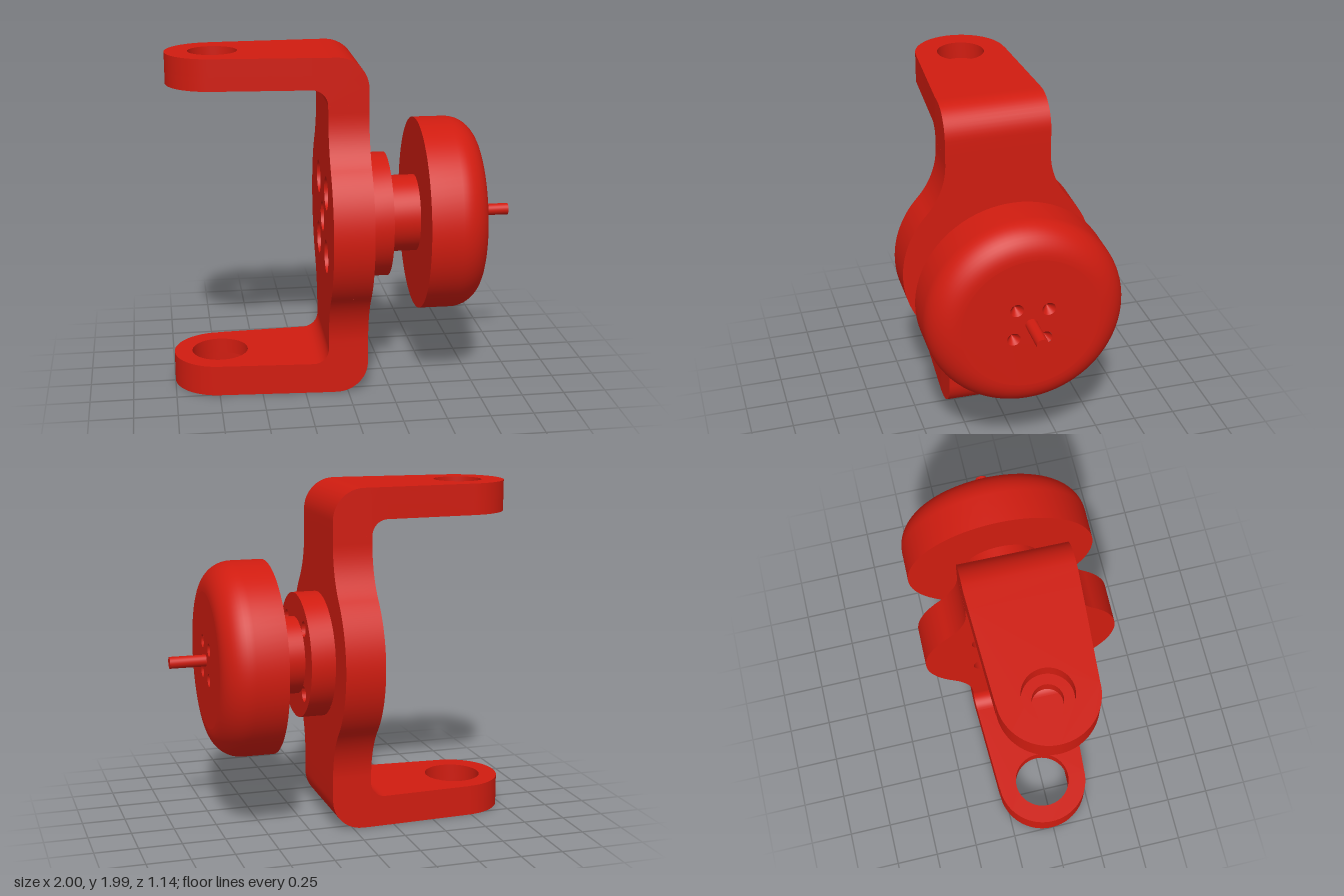
import * as THREE from 'three';
import { mergeVertices, toCreasedNormals } from 'three/addons/utils/BufferGeometryUtils.js';

const H = 1.985, MID = H / 2;      // bracket height and axle height
const T = 0.18;                    // arm thickness
const X0 = -0.11, X1 = 0.12;       // faces of the upright plate
const JOIN = -0.2, JOINY = 0.27;   // where corners meet arms and plate
const HOLE = -0.73, SLOT = 0.165;  // arm hole position, slot half width
const PI = Math.PI;

const material = new THREE.MeshStandardMaterial({ color: 0xd01c10 });
const inside = new THREE.MeshStandardMaterial({ color: 0xd01c10, side: THREE.DoubleSide });

function add(parent, name, geometry, mat = material) {
  const mesh = new THREE.Mesh(toCreasedNormals(geometry, 0.6), mat);
  mesh.name = name;
  parent.add(mesh);
  return mesh;
}

const circle = (x, y, r) => new THREE.Path().absarc(x, y, r, 0, 2 * PI, true);
const halfWidth = x => 0.305 - Math.max(0, -0.1 - x) * 0.052;

// Extrude a shape upwards from y0 to y1
function slab(shape, y0, y1) {
  return new THREE.ExtrudeGeometry(shape, { depth: y1 - y0, bevelEnabled: false, curveSegments: 32 })
    .rotateX(-PI / 2).translate(0, y0, 0);
}

// Extrude a shape sideways from x0 to x1, centred on the axle
function disc(shape, x0, x1) {
  return new THREE.ExtrudeGeometry(shape, { depth: x1 - x0, bevelEnabled: false, curveSegments: 32 })
    .rotateY(PI / 2).translate(x0, MID, 0);
}

// Turn a profile of [radius, x] pairs about the axle
function turned(profile, segments = 64) {
  return new THREE.LatheGeometry(profile.map(p => new THREE.Vector2(...p)), segments)
    .rotateZ(-PI / 2).translate(0, MID, 0);
}

// Tapered arm outline with a round end
function armShape(slotted) {
  const w = halfWidth(JOIN);
  const s = new THREE.Shape();
  s.moveTo(JOIN, w);
  s.lineTo(HOLE, 0.272);
  s.absarc(HOLE, 0, 0.27, PI / 2, 1.5 * PI, false);
  s.lineTo(JOIN, -w);
  if (slotted) {
    s.lineTo(JOIN, -SLOT);
    s.absarc(HOLE, 0, SLOT, 1.5 * PI, PI / 2, true);
    s.lineTo(JOIN, SLOT);
  }
  s.closePath();
  return s;
}

function armWithHole(r) {
  const s = armShape(false);
  s.holes.push(circle(HOLE, 0, r));
  return s;
}

// Rounded corner, lofted across z; the slot end may cut into its underside
function cornerGeometry(slotDepth) {
  const R = 0.18, r = 0.09, N = 12;
  const section = (z, depth) => {
    const end = -0.1 + (depth ? Math.sqrt(Math.max(0, SLOT * SLOT - z * z)) : 0);
    const cx = X1 - R;
    const a0 = Math.asin(Math.max(0, (end - cx) / R));
    const pts = [[JOIN, depth], [end, depth]];
    if (end < cx) pts.push([end, 0]);
    else pts.push([end, R - R * Math.cos(a0)]);
    for (let i = 0; i <= N; i++) {
      const a = a0 + (PI / 2 - a0) * i / N;
      pts.push([cx + R * Math.sin(a), R - R * Math.cos(a)]);
    }
    pts.push([X1, JOINY]);
    for (let i = 0; i <= N; i++) {
      const a = PI / 2 * i / N;
      pts.push([JOIN + r * Math.cos(a), JOINY - r * Math.sin(a)]);
    }
    return pts.map(([x, y]) => [x, y, Math.abs(z) > SLOT ? Math.sign(z) * halfWidth(x) : z]);
  };
  const sections = [section(-0.3, 0)];
  if (slotDepth) {
    sections.push(section(-SLOT, 0));
    for (let i = 0; i <= 20; i++) sections.push(section(-SLOT * Math.cos(PI * i / 20), slotDepth));
    sections.push(section(SLOT, 0));
  }
  sections.push(section(0.3, 0));

  const n = sections[0].length, index = [];
  for (let s = 0; s < sections.length - 1; s++) {
    for (let i = 0; i < n; i++) {
      const j = (i + 1) % n, a = s * n + i, b = s * n + j;
      index.push(a, b, b + n, a, b + n, a + n);
    }
  }
  const outline = sections[0].map(([x, y]) => new THREE.Vector2(x, y));
  const last = (sections.length - 1) * n;
  for (const [a, b, c] of THREE.ShapeUtils.triangulateShape(outline, [])) {
    index.push(a, c, b, last + a, last + b, last + c);
  }
  const g = new THREE.BufferGeometry();
  g.setAttribute('position', new THREE.Float32BufferAttribute(sections.flat(2), 3));
  g.setIndex(index);
  return mergeVertices(g);
}

// Upright plate: narrow necks flowing into a round middle
function plateShape() {
  const R = 0.565, r = 0.454, h = 0.68, w = 0.305;
  const a = Math.atan2(h, w + r), e = MID - JOINY;
  const s = new THREE.Shape();
  s.moveTo(w, -e);
  s.lineTo(w, -h);
  s.absarc(w + r, -h, r, PI, PI - a, true);
  s.absarc(0, 0, R, -a, a, false);
  s.absarc(w + r, h, r, PI + a, PI, true);
  s.lineTo(w, e);
  s.lineTo(-w, e);
  s.absarc(-w - r, h, r, 0, -a, true);
  s.absarc(0, 0, R, PI - a, PI + a, false);
  s.absarc(-w - r, -h, r, a, 0, true);
  s.lineTo(-w, -e);
  s.closePath();
  return s;
}

const corners = [[1, 1], [-1, 1], [-1, -1], [1, -1]];

export function createModel() {
  const model = new THREE.Group();
  model.name = 'bracketWithKnob';

  // Bracket
  const bracket = new THREE.Group();
  bracket.name = 'bracket';
  model.add(bracket);
  const slotDepth = 0.09;
  add(bracket, 'lowerArmSlotted', slab(armShape(true), 0, slotDepth));
  add(bracket, 'lowerArmTop', slab(armWithHole(SLOT), slotDepth, T));
  add(bracket, 'upperArmBase', slab(armWithHole(0.083), H - T, H - 0.1));
  add(bracket, 'upperArmCounterbore', slab(armWithHole(0.14), H - 0.1, H));
  add(bracket, 'lowerCorner', cornerGeometry(slotDepth));
  const top = add(bracket, 'upperCorner', cornerGeometry(0));
  top.scale.y = -1;
  top.position.y = H;

  const plate = plateShape();
  plate.holes.push(circle(0, 0, 0.09));
  for (const [u, v] of corners) plate.holes.push(circle(u * 0.19, v * 0.19, 0.097));
  add(bracket, 'plate', disc(plate, X0, X1));

  // Collar with screw holes, and hub
  const collar = new THREE.Shape().absarc(0, 0, 0.365, 0, 2 * PI, false);
  for (const [u, v] of corners) collar.holes.push(circle(u * 0.19, v * 0.19, 0.045));
  add(model, 'collar', disc(collar, X1, 0.26));
  add(model, 'hub', turned([[0.225, 0.25], [0.225, 0.44]]));

  // Knob with a rounded rim
  const R = 0.565, round = 0.17, back = 0.437, front = 0.79;
  const rim = [[0, back], [R, back]];
  for (let i = 0; i <= 12; i++) {
    const a = PI / 2 * i / 12;
    rim.push([R - round + round * Math.cos(a), front - round + round * Math.sin(a)]);
  }
  add(model, 'knob', turned(rim, 80));

  // Knob face with four conical dimples
  const face = new THREE.Shape().absarc(0, 0, R - round, 0, 2 * PI, false);
  for (let i = 0; i < 4; i++) {
    const a = PI / 4 + i * PI / 2 - 0.09;
    const u = 0.128 * Math.cos(a), v = 0.128 * Math.sin(a);
    face.holes.push(circle(u, v, 0.038));
    add(model, 'dimple', turned([[0, front - 0.05], [0.038, front]], 24).translate(0, v, -u), inside);
  }
  add(model, 'knobFace', new THREE.ShapeGeometry(face, 40).rotateY(PI / 2).translate(front, MID, 0));

  // Shaft
  add(model, 'shaft', turned([[0.034, front - 0.01], [0.034, 1], [0, 1]], 24));

  model.rotation.y = -0.013;
  return model;
}
